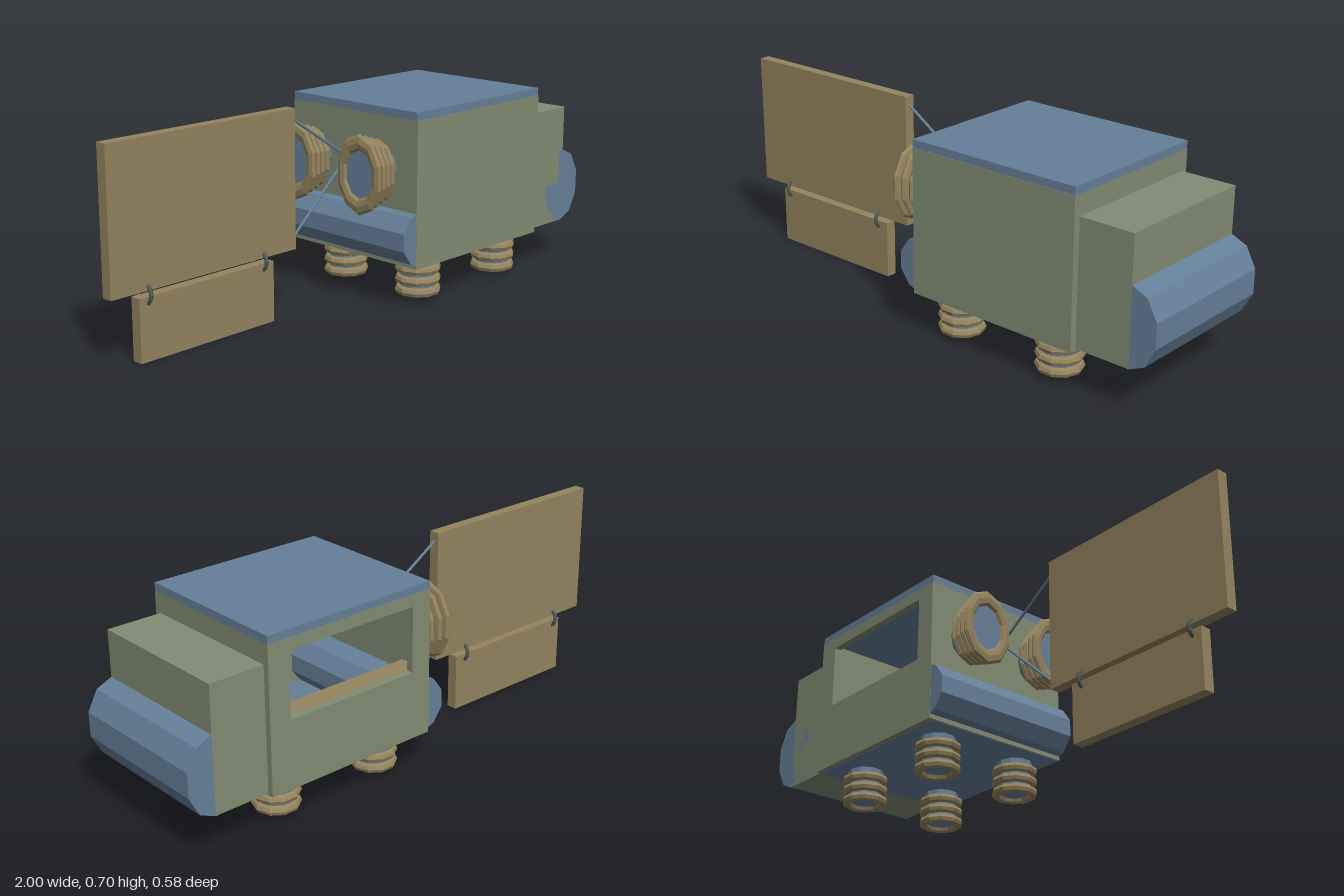
import * as THREE from 'three';

const mat = (color) => new THREE.MeshStandardMaterial({ color, flatShading: true });
const green = mat(0x828c74), blue = mat(0x668099), brown = mat(0x94845f), dark = mat(0x4f5a58);

export function createModel() {
  const model = new THREE.Group();

  const add = (name, geometry, material, parent = model) => {
    const mesh = new THREE.Mesh(geometry, material);
    mesh.name = name;
    parent.add(mesh);
    return mesh;
  };

  // Box given by its extents on each axis
  const box = (name, material, [x0, x1], [y0, y1], [z0, z1]) => {
    const g = new THREE.BoxGeometry(x1 - x0, y1 - y0, z1 - z0);
    g.translate((x0 + x1) / 2, (y0 + y1) / 2, (z0 + z1) / 2);
    return add(name, g, material);
  };

  // Ten-sided bumper roll lying along z
  const roll = (name, x, y, rx, ry, [z0, z1]) => {
    const g = new THREE.CylinderGeometry(1, 1, z1 - z0, 10);
    g.rotateX(Math.PI / 2);
    g.scale(rx, ry, 1);
    g.translate(x, y, (z0 + z1) / 2);
    return add(name, g, blue);
  };

  // Core with stacked rings, its free end at the origin and growing along +y
  const ringStack = (name, count, length, taper, coreTop) => {
    const group = new THREE.Group();
    group.name = name;
    const core = new THREE.CylinderGeometry(coreTop, 0.063, length, 10);
    core.translate(0, length / 2, 0);
    add('core', core, blue, group);
    for (let i = 0; i < count; i++) {
      const ring = new THREE.TorusGeometry(0.065 * (1 - taper * i), 0.0165, 8, 10);
      ring.rotateX(Math.PI / 2);
      ring.translate(0, i * 0.039, 0);
      add('ring', ring, brown, group);
    }
    model.add(group);
    return group;
  };

  // Hollow cabin: floor, walls and roof
  const X = [0.055, 0.71], Y = [0.147, 0.655], Z = [-0.29, 0.29], t = 0.025;
  box('floor', blue, [0.06, 0.705], [0.146, 0.177], [-0.27, 0.288]);
  box('roof', blue, X, [0.655, 0.683], [-0.288, 0.288]);
  box('frontWall', green, X, Y, [Z[1] - t, Z[1]]);
  box('leftWall', green, [X[1] - t, X[1]], Y, [Z[0] + t, Z[1] - t]);
  box('rightWall', green, [X[0], X[0] + t], Y, [Z[0] + t, Z[1] - t]);

  // Back wall with the serving window
  const wall = new THREE.Shape();
  wall.moveTo(X[0], Y[0]).lineTo(X[1], Y[0]).lineTo(X[1], Y[1]).lineTo(X[0], Y[1]).closePath();
  const hole = new THREE.Path();
  hole.moveTo(0.13, 0.385).lineTo(0.13, 0.615).lineTo(0.633, 0.615).lineTo(0.633, 0.385).closePath();
  wall.holes.push(hole);
  const wallGeometry = new THREE.ExtrudeGeometry(wall, { depth: t, bevelEnabled: false });
  wallGeometry.translate(0, 0, Z[0]);
  add('windowWall', wallGeometry, green);

  // L-shaped counter behind the window
  box('counter', brown, [0.08, 0.685], [0.355, 0.385], [-0.265, -0.19]);
  box('counterArm', brown, [0.574, 0.685], [0.355, 0.385], [-0.19, 0.06]);

  // Engine box and bumpers at both ends
  box('engineBox', green, [0.71, 0.907], [0.152, 0.585], [-0.268, 0.265]);
  roll('frontBumper', 0.904, 0.287, 0.1, 0.137, [-0.268, 0.265]);
  roll('rearBumper', 0.09, 0.251, 0.1, 0.1, [-0.289, 0.289]);

  // Four ringed feet and two ringed horns
  for (const z of [-0.155, 0.19]) {
    for (const x of [0.18, 0.593]) {
      ringStack('foot', 3, 0.125, 0, 0.063).position.set(x, 0.034, z);
    }
  }
  for (const z of [-0.155, 0.149]) {
    const horn = ringStack('horn', 4, 0.175, 0.085, 0.04);
    horn.rotation.z = -Math.PI / 2;
    horn.scale.set(1.7, 0.75, 1.25);
    horn.position.set(-0.073, 0.474, z);
  }

  // Trailing sign with a smaller board hung on links
  const thickness = [-0.022, 0.017];
  box('signBoard', brown, [-1, -0.24], [0.227, 0.703], thickness);
  box('lowerBoard', brown, [-0.895, -0.342], [0, 0.208], thickness);
  for (const x of [-0.86, -0.385]) {
    const link = new THREE.TorusGeometry(0.034, 0.007, 6, 14);
    link.rotateY(Math.PI / 2);
    add('link', link, dark).position.set(x, 0.215, -0.003);
  }

  // Cables holding the sign
  for (const [y0, y1] of [[0.672, 0.475], [0.25, 0.53]]) {
    const path = new THREE.LineCurve3(
      new THREE.Vector3(-0.245, y0, -0.003), new THREE.Vector3(0.06, y1, -0.003));
    add('cable', new THREE.TubeGeometry(path, 1, 0.005, 6), blue);
  }

  return model;
}
